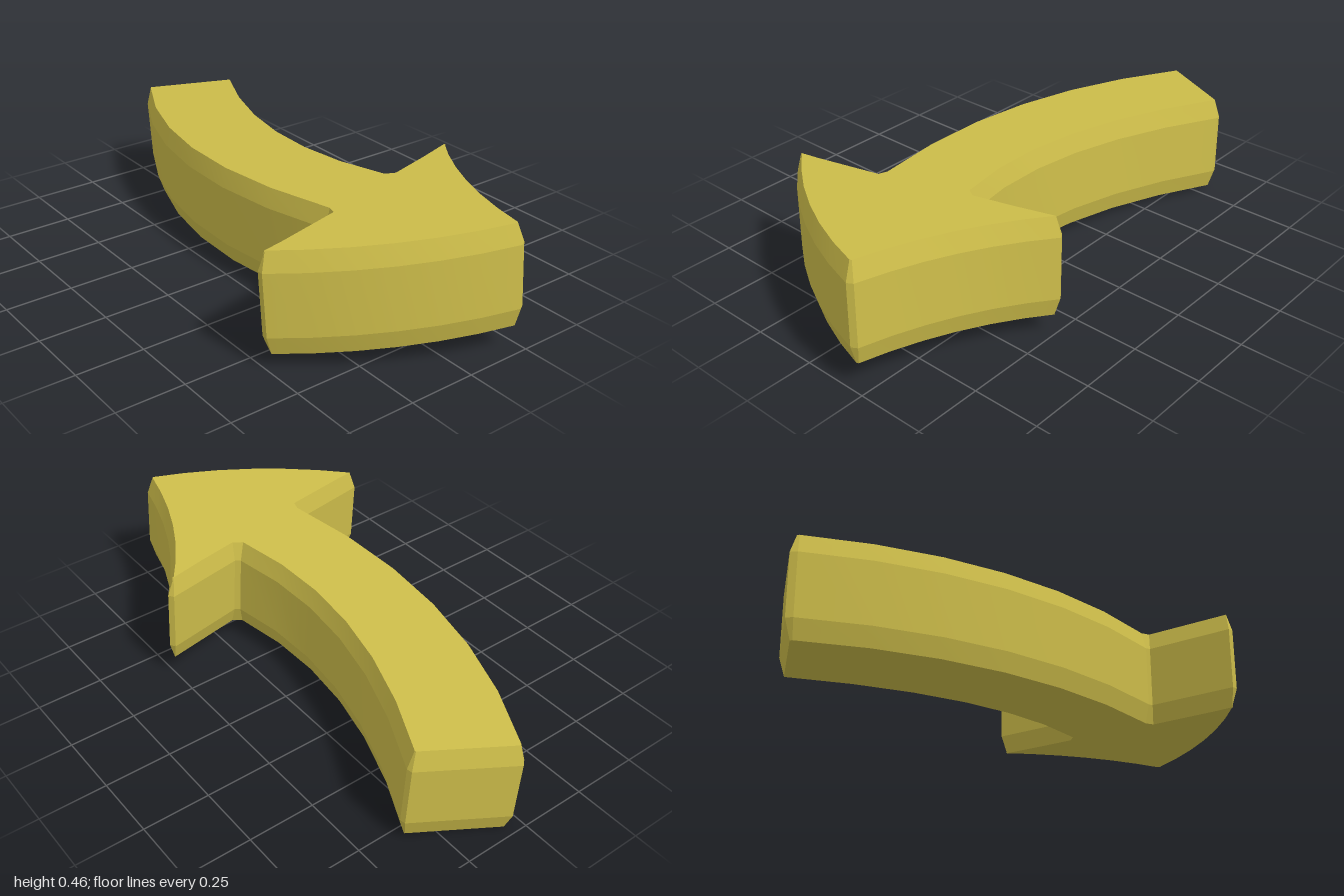
import * as THREE from 'three';
import { toCreasedNormals } from 'three/addons/utils/BufferGeometryUtils.js';

// Edge as [x, z] points: start and end, with an optional middle point to bow through
function edge(a, b, mid) {
  const A = new THREE.Vector2(a[0], -a[1]);
  const B = new THREE.Vector2(b[0], -b[1]);
  if (!mid) return [A, B];
  const control = new THREE.Vector2(2 * mid[0], -2 * mid[1]).sub(A.clone().add(B).multiplyScalar(0.5));
  return new THREE.QuadraticBezierCurve(A, control, B).getPoints(6);
}

export function createModel() {
  const group = new THREE.Group();
  group.name = 'curvedArrow';

  // Outline; the small gaps between edges form the narrow corner chamfers
  const outline = [
    ...edge([-0.975, -0.03], [0.48, 0.17], [-0.28, 0.211]),         // shaft, front
    ...edge([0.497, 0.175], [0.564, 0.505]),                        // front barb
    ...edge([0.586, 0.505], [0.992, -0.205], [0.832, 0.172]),       // head, leading side
    ...edge([0.98, -0.227], [0.352, -0.513], [0.645, -0.335]),      // head, back side
    ...edge([0.333, -0.5], [0.4, -0.195]),                          // back barb
    ...edge([0.388, -0.176], [-0.798, -0.362], [-0.18, -0.147]),    // shaft, back
    ...edge([-0.818, -0.358], [-0.993, -0.05]),                     // tail end
  ];

  // Slab with one chamfer band above and below, lying flat and centred on y
  const bevel = 0.02, band = 0.07, depth = 0.23;
  const slab = new THREE.ExtrudeGeometry(new THREE.Shape(outline), {
    depth, bevelEnabled: true, bevelSegments: 1,
    bevelThickness: band, bevelSize: bevel, bevelOffset: -bevel,
  });
  slab.translate(0, 0, -depth / 2);
  slab.rotateX(-Math.PI / 2);

  const arrow = new THREE.Mesh(
    toCreasedNormals(slab, 0.24),
    new THREE.MeshStandardMaterial({ color: 0xcdbd4a })
  );
  arrow.name = 'arrow';

  // Slight tilt: the head sits higher than the tail
  const normal = new THREE.Vector3(-0.0457, 1, 0.0387).normalize();
  arrow.quaternion.setFromUnitVectors(new THREE.Vector3(0, 1, 0), normal);
  arrow.position.y = 0.233;
  group.add(arrow);
  return group;
}
